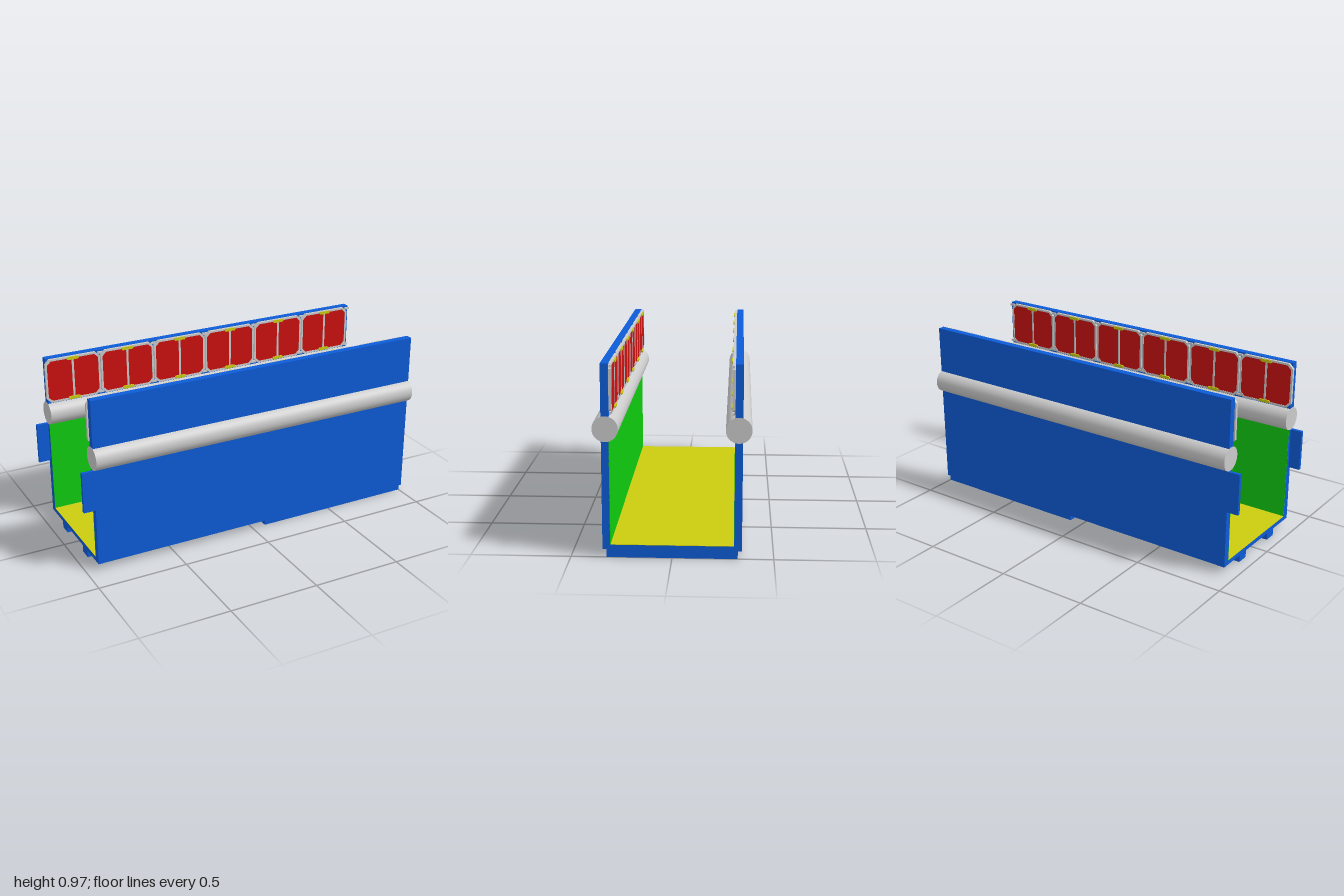
import * as THREE from 'three';

const mat = (color) => new THREE.MeshStandardMaterial({ color });
const BLUE = mat(0x0d5cd8), GREY = mat(0xcccccc), GREEN = mat(0x0fcc10);
const YELLOW = mat(0xcccc10), RED = mat(0xcc1010);

const X0 = -0.935, X1 = 1; // ends of the trough
const UNITS = 6, PITCH = 0.322, PANEL_X = -0.945;

// Box given by its extents on each axis
function box(parent, name, material, [x0, x1], [y0, y1], [z0, z1]) {
  const mesh = new THREE.Mesh(new THREE.BoxGeometry(x1 - x0, y1 - y0, Math.abs(z1 - z0)), material);
  mesh.position.set((x0 + x1) / 2, (y0 + y1) / 2, (z0 + z1) / 2);
  mesh.name = name;
  parent.add(mesh);
  return mesh;
}

// Rectangle outline with its left and right corners cut by cl and cr
function cutRect(x0, x1, y0, y1, cl, cr, Type = THREE.Shape) {
  return new Type([
    [x0 + cl, y0], [x1 - cr, y0], [x1, y0 + cr], [x1, y1 - cr],
    [x1 - cr, y1], [x0 + cl, y1], [x0, y1 - cl], [x0, y0 + cl],
  ].map(([x, y]) => new THREE.Vector2(x, y)));
}

function plate(parent, name, material, shape, depth, x, z) {
  const geometry = new THREE.ExtrudeGeometry(shape, { depth, bevelEnabled: false });
  geometry.translate(0, 0, -depth / 2);
  const mesh = new THREE.Mesh(geometry, material);
  mesh.position.set(x, 0, z);
  mesh.name = name;
  parent.add(mesh);
}

// One framed pair of red panels with its clips, on side s
function panelUnit(s, x) {
  const unit = new THREE.Group();
  unit.name = 'panelUnit';
  const w = PITCH / 2 - 0.002, y0 = 0.717, y1 = 0.967, rim = 0.011;
  const frame = cutRect(-w, w, y0, y1, 0.026, 0.026);
  const cells = [[-w + rim, -0.006, 0.022, 0.002], [0.006, w - rim, 0.002, 0.022]];
  for (const [a, b, cl, cr] of cells) {
    frame.holes.push(cutRect(a, b, y0 + rim, y1 - rim, cl, cr, THREE.Path));
    plate(unit, 'redPanel', RED, cutRect(a, b, y0 + rim, y1 - rim, cl, cr), 0.012, x, s * 0.298);
  }
  plate(unit, 'panelFrame', GREY, frame, 0.015, x, s * 0.2975);
  for (const y of [0.728, 0.957]) {
    const z = [s * 0.284, s * 0.292];
    plate(unit, 'clip', YELLOW, cutRect(-0.034, 0.034, y - 0.008, y + 0.008, 0.005, 0.005), 0.008, x, s * 0.288);
    box(unit, 'frameLink', GREY, [x + PITCH / 2 - 0.015, x + PITCH / 2 + 0.015], [y - 0.006, y + 0.006], [s * 0.291, s * 0.3]);
  }
  return unit;
}

function sideAssembly(s, name) {
  const side = new THREE.Group();
  side.name = name;
  box(side, 'wall', BLUE, [X0, X1], [0.04, 0.97], [s * 0.305, s * 0.343]);
  box(side, 'endTab', BLUE, [-1, X0 + 0.01], [0.36, 0.585], [s * 0.325, s * 0.343]);
  box(side, 'innerLining', GREEN, [X0, X1], [0.065, 0.65], [s * 0.303, s * 0.306]);

  // Round rail let into the wall
  const rail = new THREE.Mesh(new THREE.CylinderGeometry(0.064, 0.064, X1 - X0 + 0.001, 48), GREY);
  rail.rotation.z = Math.PI / 2;
  rail.position.set((X0 + X1) / 2, 0.648, s * 0.3235);
  rail.name = 'roundRail';
  side.add(rail);

  for (let i = 0; i < UNITS; i++) side.add(panelUnit(s, PANEL_X + PITCH * (i + 0.5)));

  // Runner under the floor
  box(side, 'runner', BLUE, [X0, 0.08], [0, 0.04], [s * 0.117, s * 0.185]);
  return side;
}

export function createModel() {
  const model = new THREE.Group();
  model.name = 'trough';

  // Floor with its yellow lining and the thick base under one half
  box(model, 'floor', BLUE, [X0, X1], [0.04, 0.064], [-0.305, 0.305]);
  box(model, 'floorLining', YELLOW, [X0, X1], [0.064, 0.066], [-0.303, 0.303]);
  box(model, 'baseBlock', BLUE, [0.08, X1], [0, 0.04], [-0.323, 0.323]);

  model.add(sideAssembly(1, 'frontSide'), sideAssembly(-1, 'backSide'));
  return model;
}
